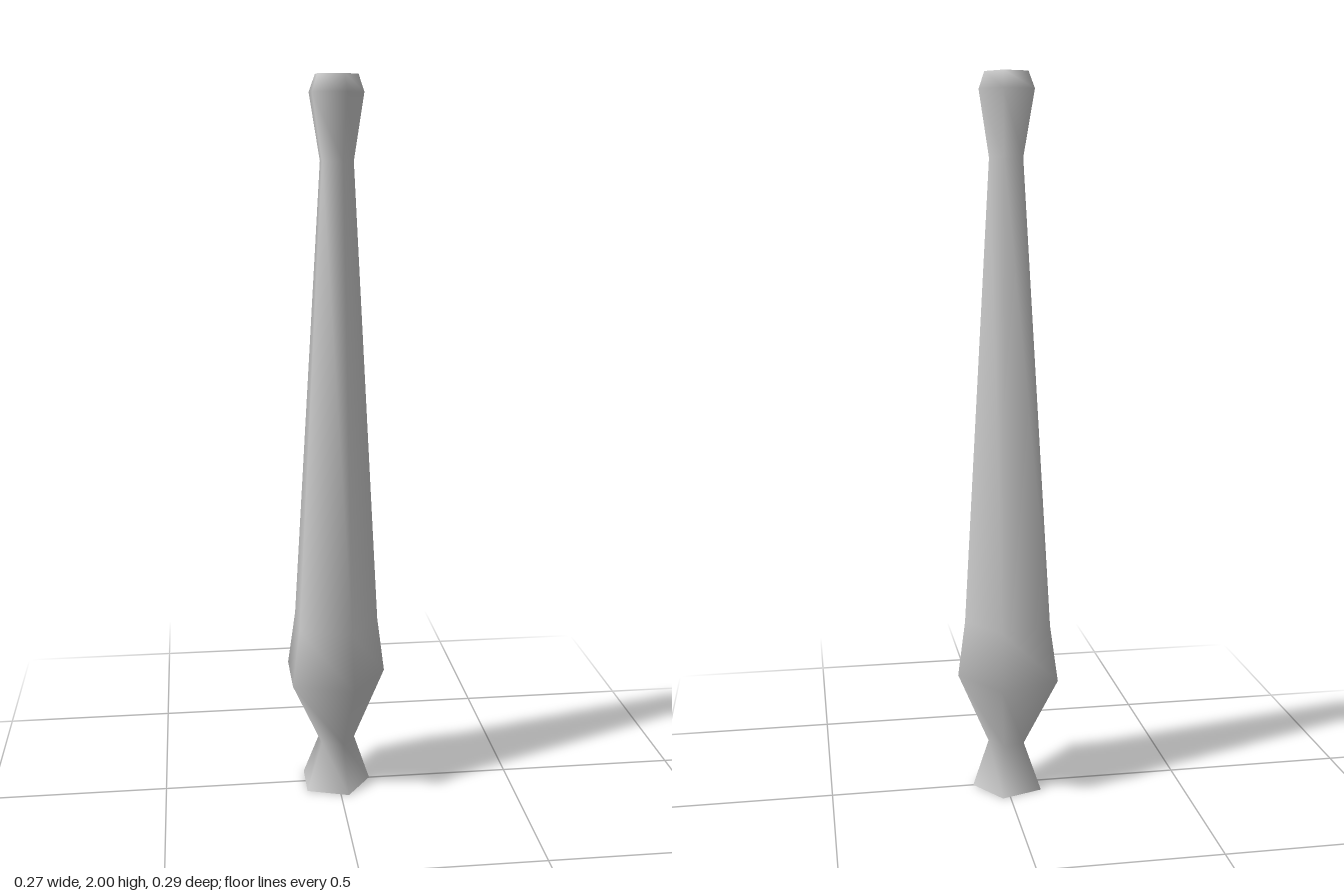
import * as THREE from 'three';

// Hollow five-sided turned post, open at both ends
export function createModel() {
  const group = new THREE.Group();
  group.name = 'turnedPost';

  // [corner radius, height] of each ring, from foot to rim
  const profile = [
    [0.104, 0], [0.054, 0.135], [0.15, 0.34], [0.127, 0.5],
    [0.048, 1.78], [0.078, 1.955], [0.061, 2],
  ].map(([r, y]) => new THREE.Vector2(r, y));

  // One corner of the pentagon points to +x
  const geometry = new THREE.LatheGeometry(profile, 5, Math.PI / 2);

  // Shift each ring so that its width is centred on x = 0
  const shift = (1 - Math.cos(Math.PI / 5)) / 2;
  const pos = geometry.attributes.position;
  for (let i = 0; i < pos.count; i++) {
    const r = Math.hypot(pos.getX(i), pos.getZ(i));
    pos.setX(i, pos.getX(i) - shift * r);
  }

  const post = new THREE.Mesh(
    geometry,
    new THREE.MeshStandardMaterial({ color: 0xcccccc, side: THREE.DoubleSide })
  );
  post.name = 'postShell';
  group.add(post);
  return group;
}
